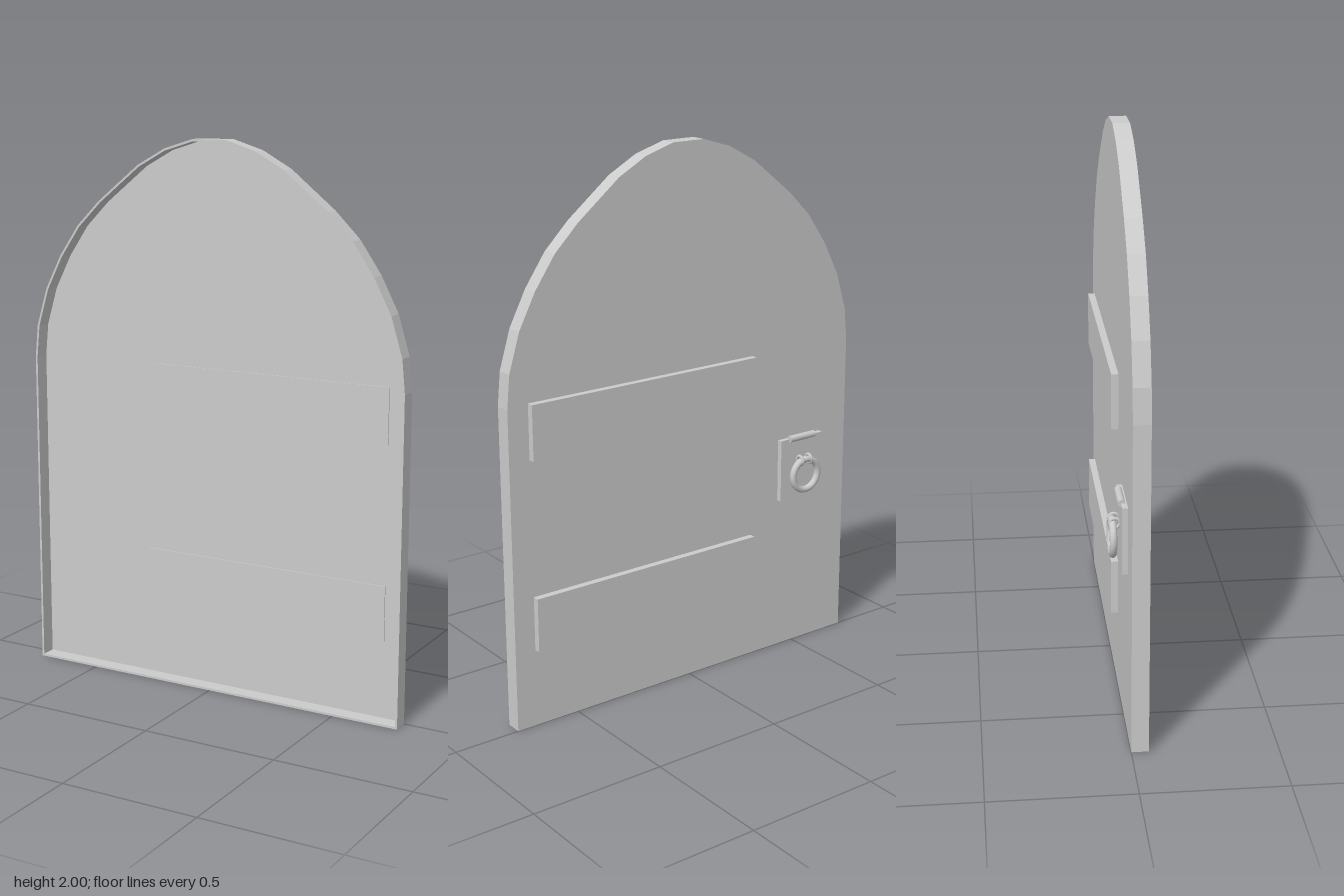
import * as THREE from 'three';

const material = new THREE.MeshStandardMaterial({ color: 0xcccccc, side: THREE.DoubleSide });

function add(parent, name, geometry, x = 0, y = 0, z = 0) {
  const mesh = new THREE.Mesh(geometry, material);
  mesh.name = name;
  mesh.position.set(x, y, z);
  parent.add(mesh);
  return mesh;
}

// Right half of the arched outline, from the foot to the crown
const half = [
  [0.75, 0], [0.75, 1.18], [0.738, 1.3], [0.695, 1.44], [0.63, 1.565], [0.55, 1.68],
  [0.457, 1.772], [0.29, 1.905], [0.18, 1.965], [0.065, 2],
];

// Full mirrored outline, shrunk evenly by an inset
function outline(inset) {
  const fx = (0.75 - inset) / 0.75;
  const fy = (2 - 2 * inset) / 2;
  const right = half.map(([x, y]) => new THREE.Vector2(x * fx, inset + y * fy));
  const left = right.map((p) => new THREE.Vector2(-p.x, p.y)).reverse();
  return [...right, ...left];
}

export function createModel() {
  const door = new THREE.Group();
  door.name = 'archedDoor';

  // Thin rim around the recessed front
  const rim = new THREE.Shape(outline(0));
  rim.holes.push(new THREE.Path(outline(0.008)));
  add(door, 'rim', new THREE.ExtrudeGeometry(rim, { depth: 0.06, bevelEnabled: false }));

  // Door panel at the back of the rim
  const panel = new THREE.Shape(outline(0.004));
  add(door, 'panel', new THREE.ExtrudeGeometry(panel, { depth: 0.004, bevelEnabled: false }));

  // Hinge straps, standing proud of the back and just through the panel
  for (const y of [0.39, 1.09]) {
    add(door, 'hingeStrap', new THREE.BoxGeometry(0.96, 0.2, 0.033), 0.19, y, -0.0085);
  }

  // Ring handle on its back plate
  const handle = new THREE.Group();
  handle.name = 'handle';
  handle.position.set(-0.52, 0, 0);
  door.add(handle);
  add(handle, 'backPlate', new THREE.BoxGeometry(0.2, 0.24, 0.02), 0, 0.72, -0.01);
  const roll = add(handle, 'topRoll', new THREE.CylinderGeometry(0.013, 0.013, 0.12, 12), 0, 0.84, -0.018);
  roll.rotation.z = Math.PI / 2;
  add(handle, 'ring', new THREE.TorusGeometry(0.06, 0.013, 10, 28), 0, 0.696, -0.044);

  // Pair of staples holding the ring
  for (const side of [-1, 1]) {
    const staple = add(handle, 'staple', new THREE.TorusGeometry(0.017, 0.006, 8, 16), side * 0.021, 0.753, -0.037);
    staple.rotation.y = Math.PI / 2;
  }
  return door;
}
